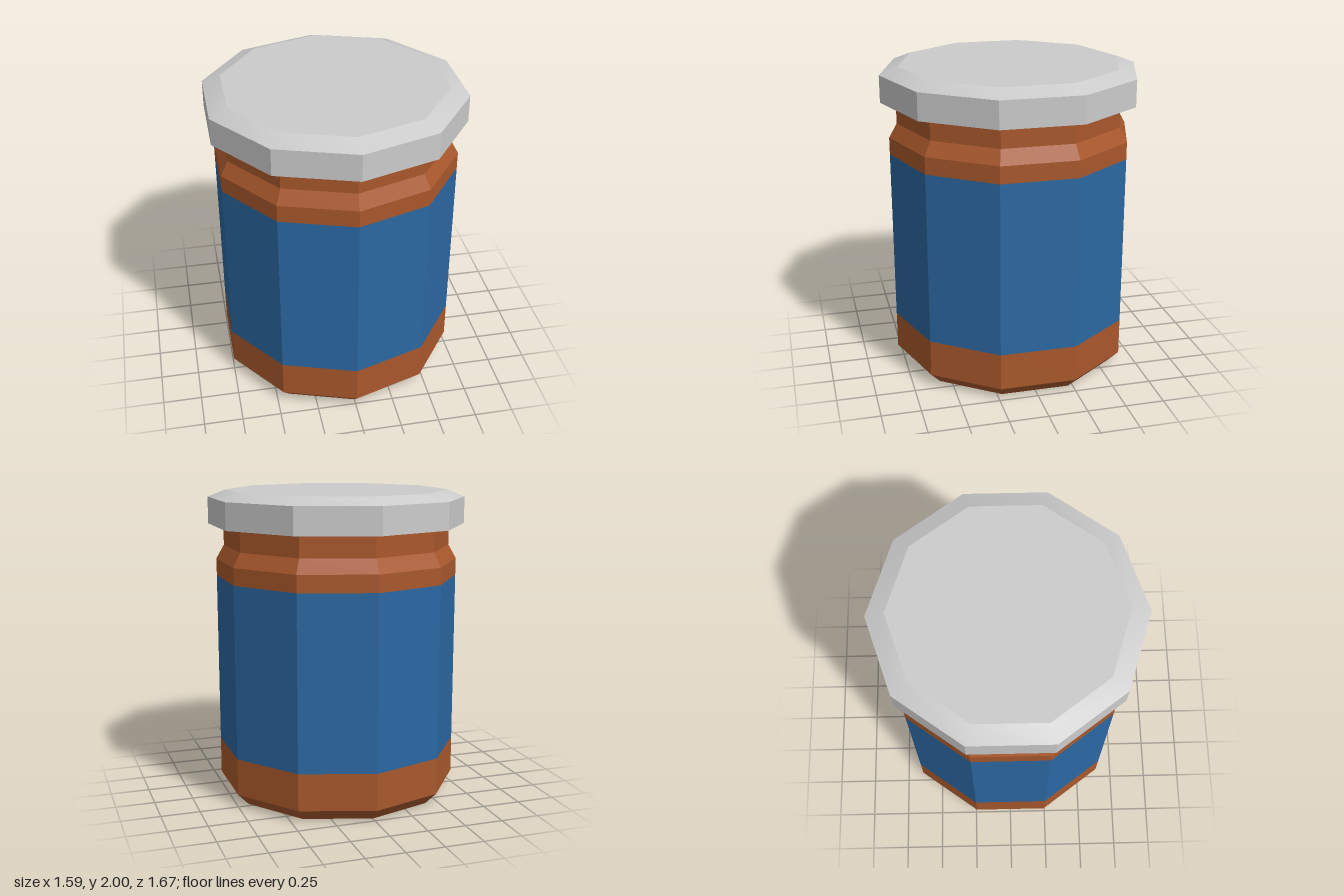
import * as THREE from 'three';
import { toCreasedNormals } from 'three/addons/utils/BufferGeometryUtils.js';

const SIDES = 10;
const CREASE = THREE.MathUtils.degToRad(20);

// Ten-sided turned part from [radius, height] pairs, listed bottom to top
function turned(name, color, profile, side = THREE.FrontSide) {
  const points = profile.map(([r, y]) => new THREE.Vector2(r, y));
  const geometry = toCreasedNormals(new THREE.LatheGeometry(points, SIDES), CREASE);
  const mesh = new THREE.Mesh(geometry, new THREE.MeshStandardMaterial({ color, side }));
  mesh.name = name;
  return mesh;
}

export function createModel() {
  const group = new THREE.Group();
  group.name = 'jar';

  const brown = 0xa9582c, blue = 0x2b68a2, grey = 0xcccccc;
  const bodyR = 0.788, neckR = 0.737, lidR = 0.836;
  const labelBottom = 0.32, labelTop = 1.44, lidBottom = 1.78;

  group.add(
    // Closed base with a bevelled foot
    turned('jarBase', brown, [[0, 0], [0.71, 0], [bodyR, 0.08], [bodyR, labelBottom]]),
    // Label band flush with the glass
    turned('label', blue, [[bodyR, labelBottom], [bodyR, labelTop]]),
    // Shoulder narrowing to the neck
    turned('jarShoulderAndNeck', brown,
      [[bodyR, labelTop], [bodyR, 1.55], [neckR, 1.64], [neckR, lidBottom]]),
    // Lid with a flat underside and a shallow bevel on top
    turned('lid', grey,
      [[0, lidBottom], [lidR, lidBottom], [lidR, 1.953], [0.717, 2], [0, 2]]),
  );
  return group;
}
